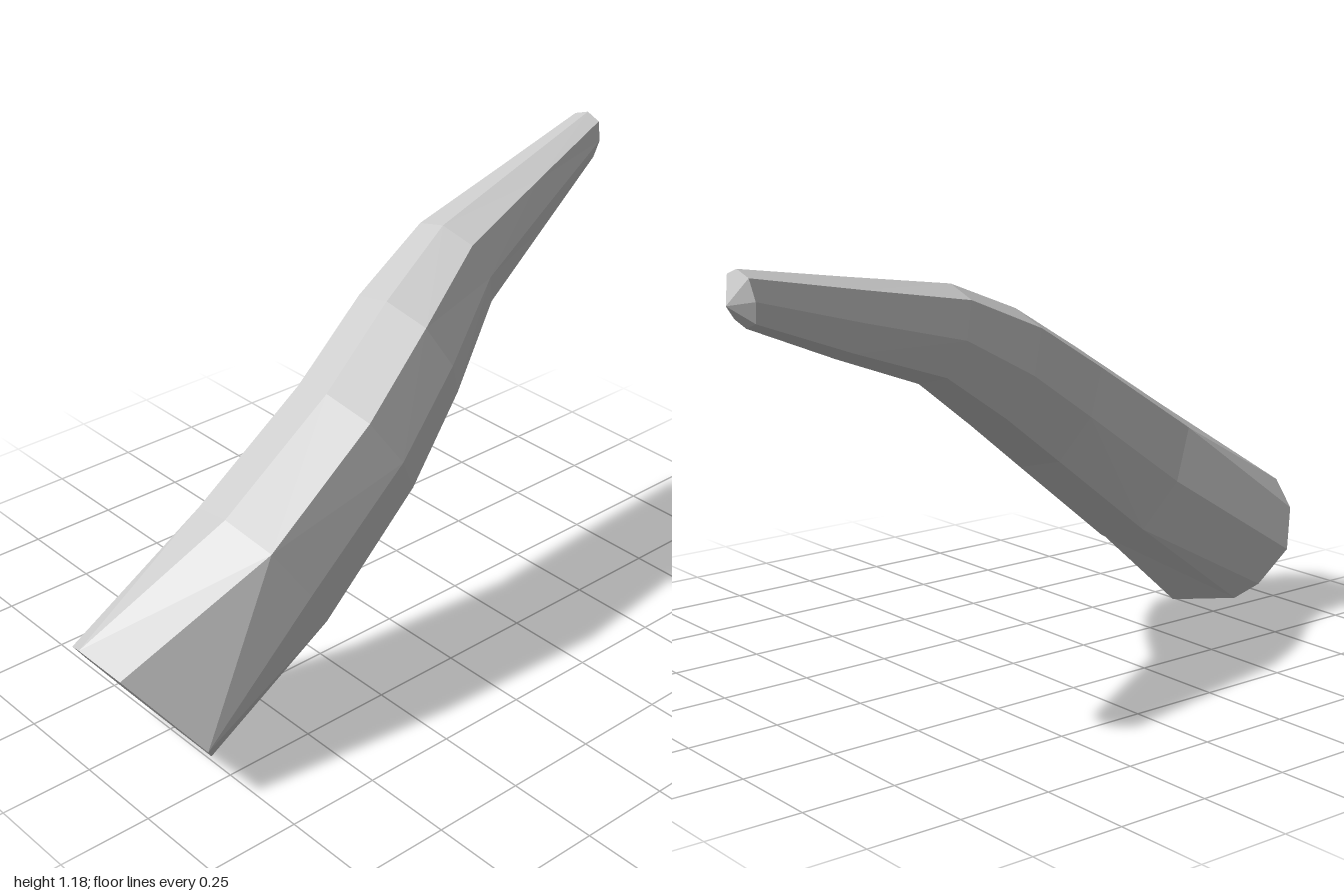
import * as THREE from 'three';

// Cross-sections along the horn: top (z, y), bottom (z, y), right side x, left side x
const SECTIONS = [
  { top: [0.62, 0.62], bottom: [0.40, 0.27], x: [-0.09, 0.29] },
  { top: [0.27, 0.83], bottom: [0.08, 0.52], x: [-0.11, 0.25] },
  { top: [0.0, 0.97], bottom: [-0.15, 0.68], x: [-0.18, 0.16] },
  { top: [-0.28, 1.07], bottom: [-0.38, 0.83], x: [-0.235, 0.03] },
  { top: [-0.63, 1.125], bottom: [-0.67, 0.935], x: [-0.268, -0.08] },
  { top: [-0.97, 1.18], bottom: [-0.95, 1.045], x: [-0.3, -0.18] },
];

// Irregular rim of the wide end (x, y), lying on a slanted plane
const RIM = [[0.3, 0.15], [0.16, 0.35], [0, 0.36], [-0.1, 0.3],
  [-0.16, 0.2], [-0.12, 0.1], [-0.06, 0.05], [0.16, 0]];
const SIDES = RIM.length;

// Eight-sided ring, slightly squarer than an ellipse
function ring({ top, bottom, x }) {
  return RIM.map((_, i) => {
    const a = (i / SIDES) * Math.PI * 2;
    const k = i % 2 ? 1.08 : 1;
    const c = Math.cos(a) * k, t = (1 + Math.sin(a) * k) / 2;
    return new THREE.Vector3(
      (x[0] + x[1]) / 2 + c * (x[1] - x[0]) / 2,
      THREE.MathUtils.lerp(bottom[1], top[1], t),
      THREE.MathUtils.lerp(bottom[0], top[0], t));
  });
}

function geometryFrom(points) {
  const g = new THREE.BufferGeometry().setFromPoints(points);
  g.computeVertexNormals();
  return g;
}

// Fan of triangles closing a ring
function cap(loop, centre, flip) {
  const pts = [];
  loop.forEach((p, i) => {
    const q = loop[(i + 1) % SIDES];
    pts.push(centre, ...(flip ? [q, p] : [p, q]));
  });
  return geometryFrom(pts);
}

export function createModel() {
  const group = new THREE.Group();
  group.name = 'horn';
  const grey = new THREE.MeshStandardMaterial({ color: 0xcccccc, flatShading: true });
  grey.name = 'pale grey';

  const rim = RIM.map(([x, y]) => new THREE.Vector3(x, y, 0.74 + 0.72 * y));
  const rings = [rim, ...SECTIONS.map(ring)];

  // Faceted skin between neighbouring rings, with alternating diagonals
  const skin = [];
  for (let s = 0; s < rings.length - 1; s++) {
    for (let i = 0; i < SIDES; i++) {
      const j = (i + 1) % SIDES;
      const a = rings[s][i], b = rings[s][j], c = rings[s + 1][i], d = rings[s + 1][j];
      if ((i + s) % 2) skin.push(a, c, b, b, c, d);
      else skin.push(a, c, d, a, d, b);
    }
  }

  const add = (name, geometry) => {
    const mesh = new THREE.Mesh(geometry, grey);
    mesh.name = name;
    group.add(mesh);
  };
  add('hornBody', geometryFrom(skin));
  add('baseEnd', cap(rim, new THREE.Vector3(0.07, 0.18, 0.87), false));
  add('tipEnd', cap(rings.at(-1), new THREE.Vector3(-0.24, 1.1, -1), true));
  return group;
}
